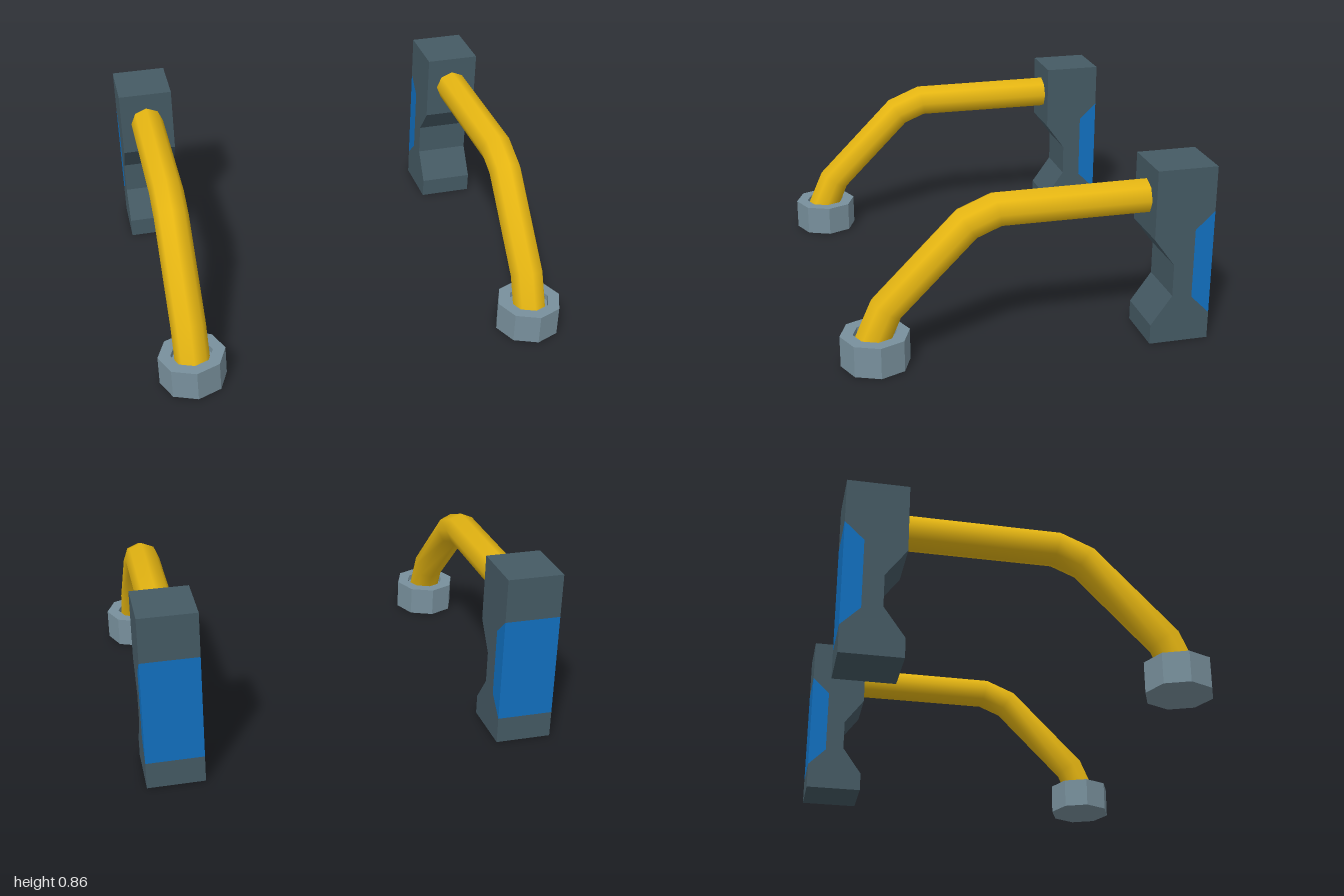
import * as THREE from 'three';

const mat = (name, color) => {
  const m = new THREE.MeshStandardMaterial({ color });
  m.name = name;
  return m;
};

const named = (name, geometry, material) => {
  const mesh = new THREE.Mesh(geometry, material);
  mesh.name = name;
  return mesh;
};

// Extrudes a [z, y] outline along x, centred on x = 0.
function sideExtrude(points, width) {
  const shape = new THREE.Shape(points.map(([z, y]) => new THREE.Vector2(z, y)));
  return new THREE.ExtrudeGeometry(shape, { depth: width, bevelEnabled: false })
    .translate(0, 0, -width / 2)
    .rotateY(-Math.PI / 2);
}

// Bends an eight-sided cylinder by placing each of its rings: [z, y, tilt in degrees].
function bentTube(radius, rings) {
  const geo = new THREE.CylinderGeometry(radius, radius, 1, 8, rings.length - 1, true);
  const pos = geo.attributes.position;
  const nor = geo.attributes.normal;
  const axis = new THREE.Vector3(1, 0, 0);
  const v = new THREE.Vector3();
  for (let i = 0; i < pos.count; i++) {
    const [z, y, tilt] = rings[Math.floor(i / 9)];
    const angle = THREE.MathUtils.degToRad(tilt);
    v.fromBufferAttribute(pos, i).setY(0).applyAxisAngle(axis, angle);
    pos.setXYZ(i, v.x, v.y + y, v.z + z);
    v.fromBufferAttribute(nor, i).applyAxisAngle(axis, angle);
    nor.setXYZ(i, v.x, v.y, v.z);
  }
  return geo;
}

export function createModel() {
  const yellow = mat('yellow pipe', 0xe6b612);
  const slate = mat('dark slate', 0x455a64);
  const grey = mat('blue grey', 0x78909c);
  const blue = mat('blue panel', 0x1170c0);
  yellow.side = THREE.DoubleSide;
  grey.flatShading = true;

  // Back post, with a pinched waist in front and a notch for the panel behind
  const notch = [[-0.855, 0.64], [-0.765, 0.555], [-0.765, 0.22], [-0.855, 0.13]];
  const postGeo = sideExtrude([
    [-0.855, 0], [-0.57, 0], [-0.57, 0.095], [-0.67, 0.235], [-0.67, 0.39],
    [-0.57, 0.525], [-0.57, 0.855], [-0.855, 0.855], ...notch,
  ], 0.27);
  const panelGeo = sideExtrude(notch, 0.27);

  // Pipe from the post, over the bends and down into the foot
  const pipeGeo = bentTube(0.083, [
    [-0.6, 0.692, -90], [0.135, 0.692, -79], [0.27, 0.637, -56],
    [0.64, 0.265, -33], [0.712, 0.1, -23],
  ]);

  // Octagonal foot with a shallow socket
  const footGeo = new THREE.LatheGeometry([
    [0, 0], [0.16, 0], [0.16, 0.15], [0.1, 0.15], [0.1, 0.12], [0, 0.12],
  ].map(([r, y]) => new THREE.Vector2(r, y)), 8).translate(0, 0, 0.695);

  const model = new THREE.Group();
  model.name = 'pairOfArms';
  for (const [name, x] of [['leftArm', 0.838], ['rightArm', -0.84]]) {
    const arm = new THREE.Group();
    arm.name = name;
    arm.add(
      named('post', postGeo, slate),
      named('backPanel', panelGeo, blue),
      named('pipe', pipeGeo, yellow),
      named('foot', footGeo, grey),
    );
    arm.position.x = x;
    model.add(arm);
  }
  return model;
}
